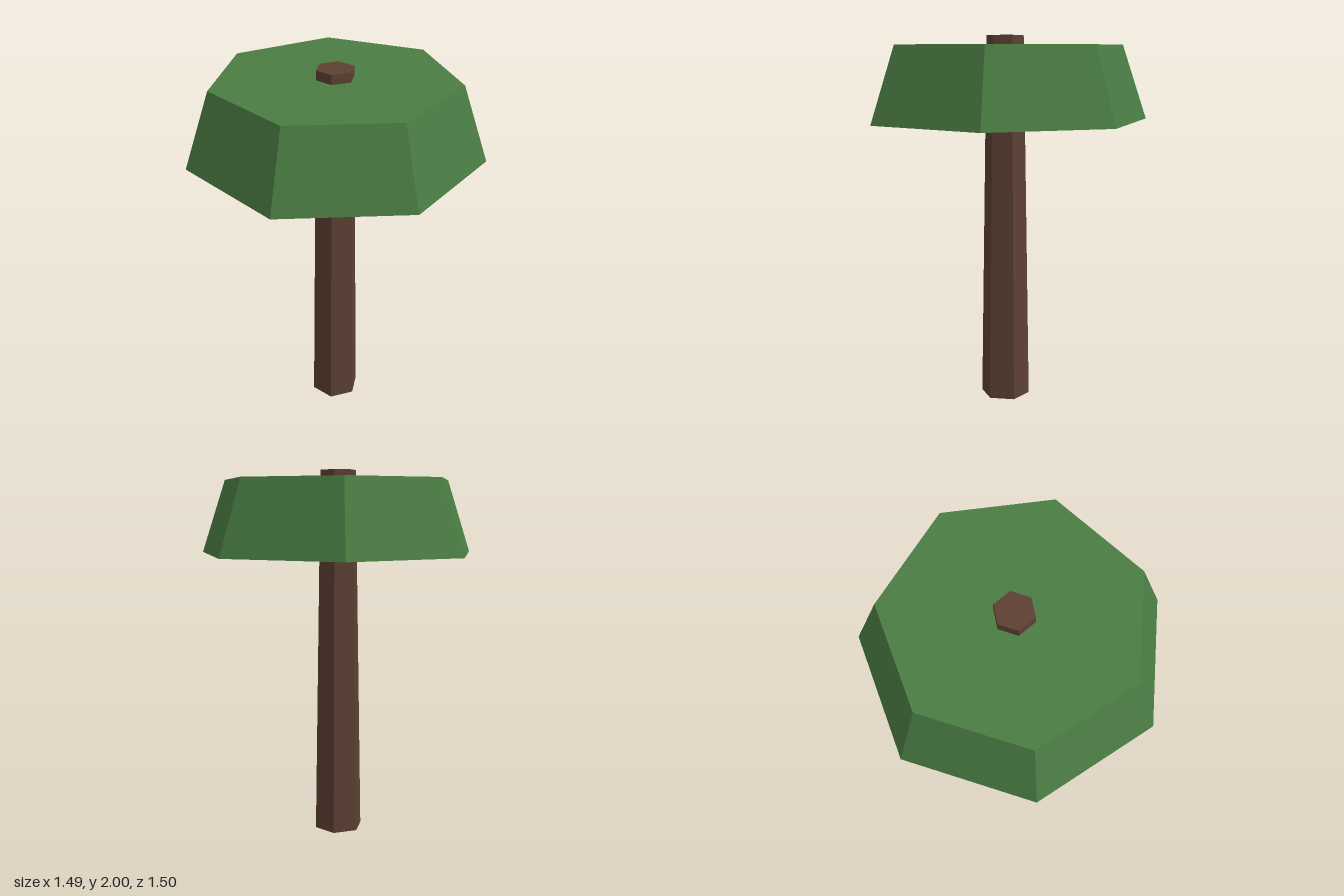
import * as THREE from 'three';

const CENTER_X = 0.02;
const CENTER_Z = 0.014;

export function createModel() {
  const bark = new THREE.MeshStandardMaterial({ color: 0x5c4032, flatShading: true });
  bark.name = 'brown bark';
  const leaves = new THREE.MeshStandardMaterial({ color: 0x4a7c43, flatShading: true });
  leaves.name = 'green leaves';

  const tree = new THREE.Group();
  tree.name = 'tree';

  // Adds a tapered prism standing between two heights
  function addPrism(name, material, topRadius, bottomRadius, y0, y1, sides, turn) {
    const geometry = new THREE.CylinderGeometry(topRadius, bottomRadius, y1 - y0, sides, 1, false, turn);
    const mesh = new THREE.Mesh(geometry, material);
    mesh.name = name;
    mesh.position.set(CENTER_X, (y0 + y1) / 2, CENTER_Z);
    tree.add(mesh);
  }

  // Six-sided trunk, poking out just above the crown
  addPrism('trunk', bark, 0.1, 0.135, 0, 2, 6, Math.PI / 2);
  // Seven-sided flat crown
  addPrism('crown', leaves, 0.635, 0.772, 1.555, 1.95, 7, 0.315);

  return tree;
}
